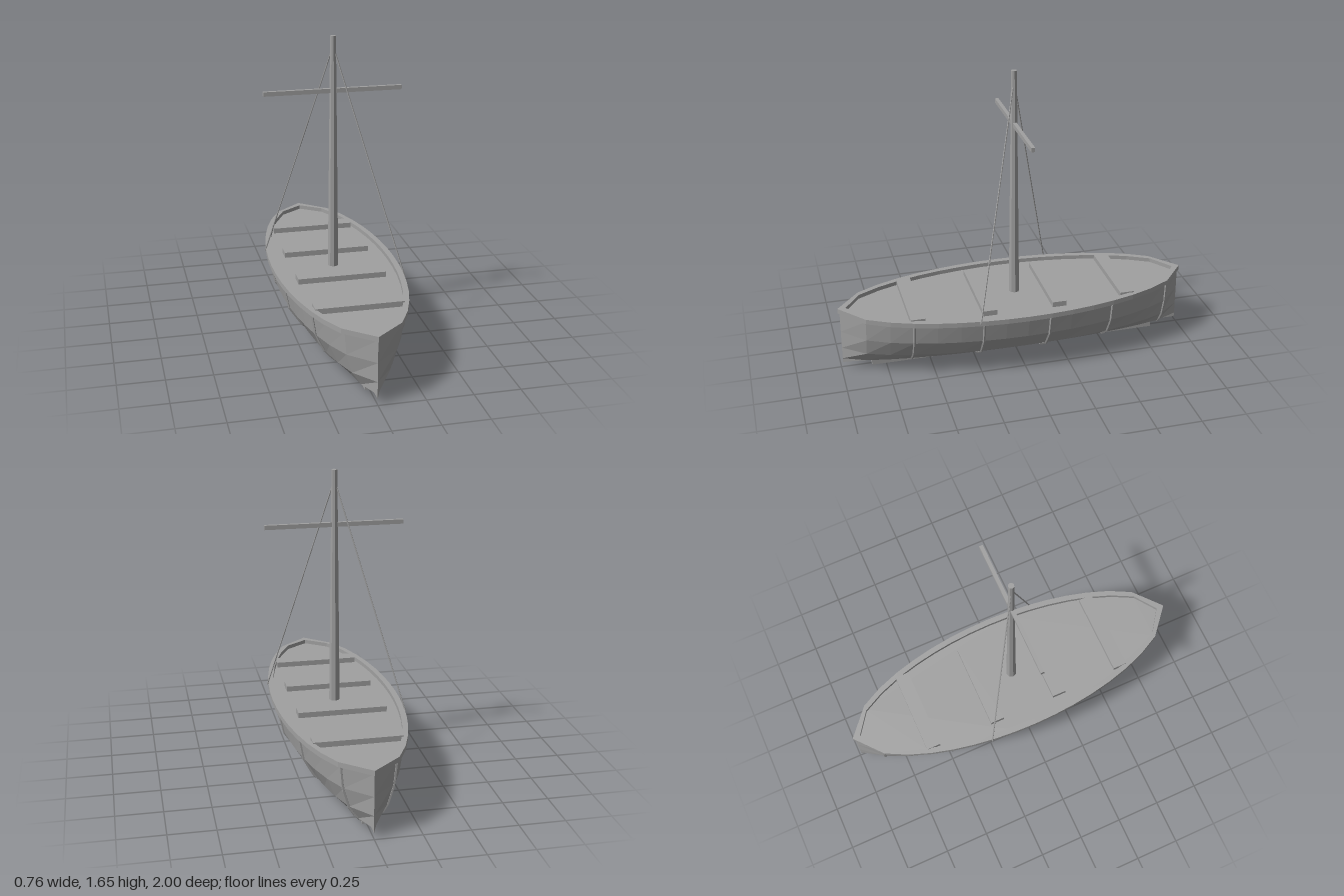
import * as THREE from 'three';

const LENGTH = 0.99, BEAM = 0.335, RIM = 0.35, DEPTH = 0.32, STATIONS = 16, SIDES = 8;

const stationZ = (i) => LENGTH * (1 - (2 * i) / STATIONS);
const halfWidth = (z) => BEAM * Math.pow(Math.max(0, 1 - (z / LENGTH) ** 2), 0.6);

// Point on the round hull section; j runs from the left rim under to the right rim
function hullPoint(i, j, grow = 0) {
  const z = stationZ(i), a = (Math.PI * j) / SIDES;
  return new THREE.Vector3(
    Math.cos(a) * (halfWidth(z) + grow), RIM - Math.sin(a) * (DEPTH + grow), z);
}

// Plan outline of the boat, widened by `grow`, with its tips at +-tip
function outline(grow, tip) {
  const pts = [new THREE.Vector2(0, tip)];
  for (let i = 1; i < STATIONS; i++) pts.push(new THREE.Vector2(halfWidth(stationZ(i)) + grow, stationZ(i)));
  pts.push(new THREE.Vector2(0, -tip));
  for (let i = STATIONS - 1; i > 0; i--) pts.push(new THREE.Vector2(-halfWidth(stationZ(i)) - grow, stationZ(i)));
  return pts;
}

function hullGeometry() {
  const pos = [], index = [];
  for (let i = 0; i <= STATIONS; i++)
    for (let j = 0; j <= SIDES; j++) pos.push(...hullPoint(i, j).toArray());
  const row = SIDES + 1;
  for (let i = 0; i < STATIONS; i++)
    for (let j = 0; j < SIDES; j++) {
      const a = i * row + j, b = a + 1, c = a + row, d = c + 1;
      index.push(a, b, c, b, d, c);
    }
  const g = new THREE.BufferGeometry();
  g.setAttribute('position', new THREE.Float32BufferAttribute(pos, 3));
  g.setIndex(index);
  g.computeVertexNormals();
  return g;
}

export function createModel() {
  const boat = new THREE.Group();
  boat.name = 'sailingBoat';
  const wood = new THREE.MeshStandardMaterial({ color: 0xa0a0a0, flatShading: true, side: THREE.DoubleSide });
  wood.name = 'grey wood';

  function add(name, geometry, x = 0, y = 0, z = 0) {
    const mesh = new THREE.Mesh(geometry, wood);
    mesh.name = name;
    mesh.position.set(x, y, z);
    boat.add(mesh);
    return mesh;
  }

  // Hull, deck and keel
  add('hull', hullGeometry());
  add('deck', new THREE.ShapeGeometry(new THREE.Shape(outline(0, LENGTH))).rotateX(-Math.PI / 2), 0, RIM, 0);
  add('keel', new THREE.BoxGeometry(0.048, 0.04, 1.66), 0, 0.02, 0);

  // Rail around the rim
  const railShape = new THREE.Shape(outline(0.016, 1));
  railShape.holes.push(new THREE.Path(outline(-0.016, 0.955)));
  const railGeo = new THREE.ExtrudeGeometry(railShape, { depth: 0.028, bevelEnabled: false });
  add('rail', railGeo.rotateX(-Math.PI / 2), 0, 0.345, 0);

  // Thin ribs hugging the hull
  for (let i = 3; i < STATIONS; i += 3) {
    const path = new THREE.CurvePath();
    for (let j = 0; j < SIDES; j++)
      path.add(new THREE.LineCurve3(hullPoint(i, j, 0.002), hullPoint(i, j + 1, 0.002)));
    add('rib', new THREE.TubeGeometry(path, SIDES * 2, 0.008, 5, false));
  }

  // Benches across the deck
  for (const side of [1, -1]) {
    add('middleBench', new THREE.BoxGeometry(0.49, 0.035, 0.08), 0, 0.3625, side * 0.197);
    add('endBench', new THREE.BoxGeometry(0.475, 0.035, 0.08), 0, 0.3625, side * 0.595);
  }

  // Mast and yard
  add('mast', new THREE.CylinderGeometry(0.016, 0.03, 1.31, 8), 0, 1, 0);
  add('yard', new THREE.BoxGeometry(0.76, 0.024, 0.02), 0, 1.357, 0);

  // Two stays from the masthead to opposite rails
  for (const side of [1, -1]) {
    const line = new THREE.LineCurve3(
      new THREE.Vector3(0, 1.6, 0), new THREE.Vector3(side * 0.34, 0.36, side * 0.272));
    add('stay', new THREE.TubeGeometry(line, 1, 0.004, 5, false));
  }
  return boat;
}
